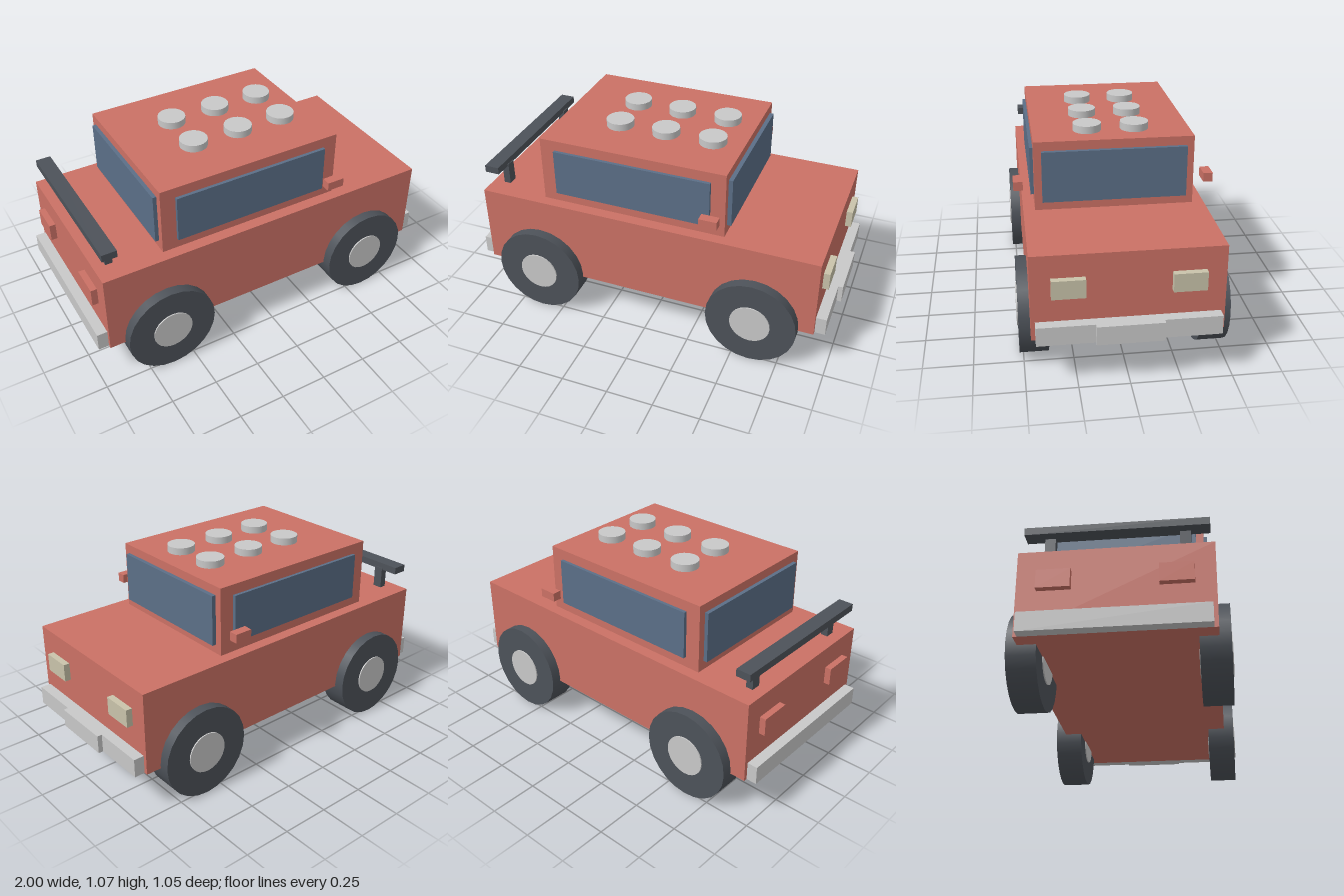
import * as THREE from 'three';

const material = (name, color) => {
  const m = new THREE.MeshStandardMaterial({ color });
  m.name = name;
  return m;
};

export function createModel() {
  const paint = material('red paint', 0xcb7165);
  const glass = material('blue glass', 0x5b6f87);
  const rubber = material('dark rubber', 0x4d5259);
  const metal = material('light metal', 0xc8c8c8);
  const lamp = material('cream lamp', 0xc9c3aa);

  const car = new THREE.Group();
  car.name = 'offRoadCar';

  // Box given by its extents along each axis
  const box = (name, mat, [x0, x1], [y0, y1], [z0, z1]) => {
    const mesh = new THREE.Mesh(new THREE.BoxGeometry(x1 - x0, y1 - y0, z1 - z0), mat);
    mesh.position.set((x0 + x1) / 2, (y0 + y1) / 2, (z0 + z1) / 2);
    mesh.name = name;
    car.add(mesh);
  };
  const pair = (name, mat, x, y, [z0, z1]) => {
    box(name, mat, x, y, [z0, z1]);
    box(name, mat, x, y, [-z1, -z0]);
  };
  const disc = (name, mat, radius, depth, sides) => {
    const mesh = new THREE.Mesh(new THREE.CylinderGeometry(radius, radius, depth, sides), mat);
    mesh.name = name;
    return mesh;
  };

  // Body and cabin
  box('body', paint, [-0.945, 0.92], [0.228, 0.67], [-0.465, 0.465]);
  box('cabin', paint, [-0.6, 0.41], [0.67, 1.032], [-0.405, 0.405]);

  // Windows
  box('windscreen', glass, [0.41, 0.432], [0.718, 0.985], [-0.367, 0.367]);
  box('rearWindow', glass, [-0.62, -0.6], [0.718, 0.985], [-0.367, 0.367]);
  pair('sideWindow', glass, [-0.52, 0.332], [0.725, 0.977], [0.405, 0.422]);

  // Lights, bumpers and mirrors
  pair('headlight', lamp, [0.92, 0.953], [0.458, 0.553], [0.205, 0.367]);
  pair('tailLight', paint, [-0.978, -0.945], [0.458, 0.553], [0.205, 0.367]);
  box('frontBumper', metal, [0.92, 0.975], [0.228, 0.326], [-0.445, 0.445]);
  box('bumperCentre', metal, [0.975, 1], [0.228, 0.326], [-0.163, 0.163]);
  box('rearBumper', metal, [-1, -0.945], [0.228, 0.326], [-0.445, 0.445]);
  pair('mirror', paint, [0.305, 0.4], [0.776, 0.823], [0.462, 0.51]);

  // Rear spoiler on two posts
  box('spoiler', rubber, [-0.93, -0.85], [0.78, 0.819], [-0.445, 0.445]);
  pair('spoilerPost', rubber, [-0.883, -0.845], [0.67, 0.79], [0.3, 0.352]);

  // Roof lamps
  for (const x of [-0.27, -0.012, 0.245]) {
    for (const z of [-0.122, 0.122]) {
      const roofLamp = disc('roofLamp', metal, 0.073, 0.04, 24);
      roofLamp.position.set(x, 1.05, z);
      car.add(roofLamp);
    }
  }

  // Wheels with hubs standing slightly proud on both faces
  for (const x of [-0.62, 0.597]) {
    for (const side of [-1, 1]) {
      const wheel = new THREE.Group();
      wheel.name = 'wheel';
      wheel.add(disc('tyre', rubber, 0.243, 0.145, 24), disc('hub', metal, 0.108, 0.158, 24));
      wheel.rotation.x = Math.PI / 2;
      wheel.position.set(x, 0.243, side * 0.447);
      car.add(wheel);
    }
  }

  return car;
}
